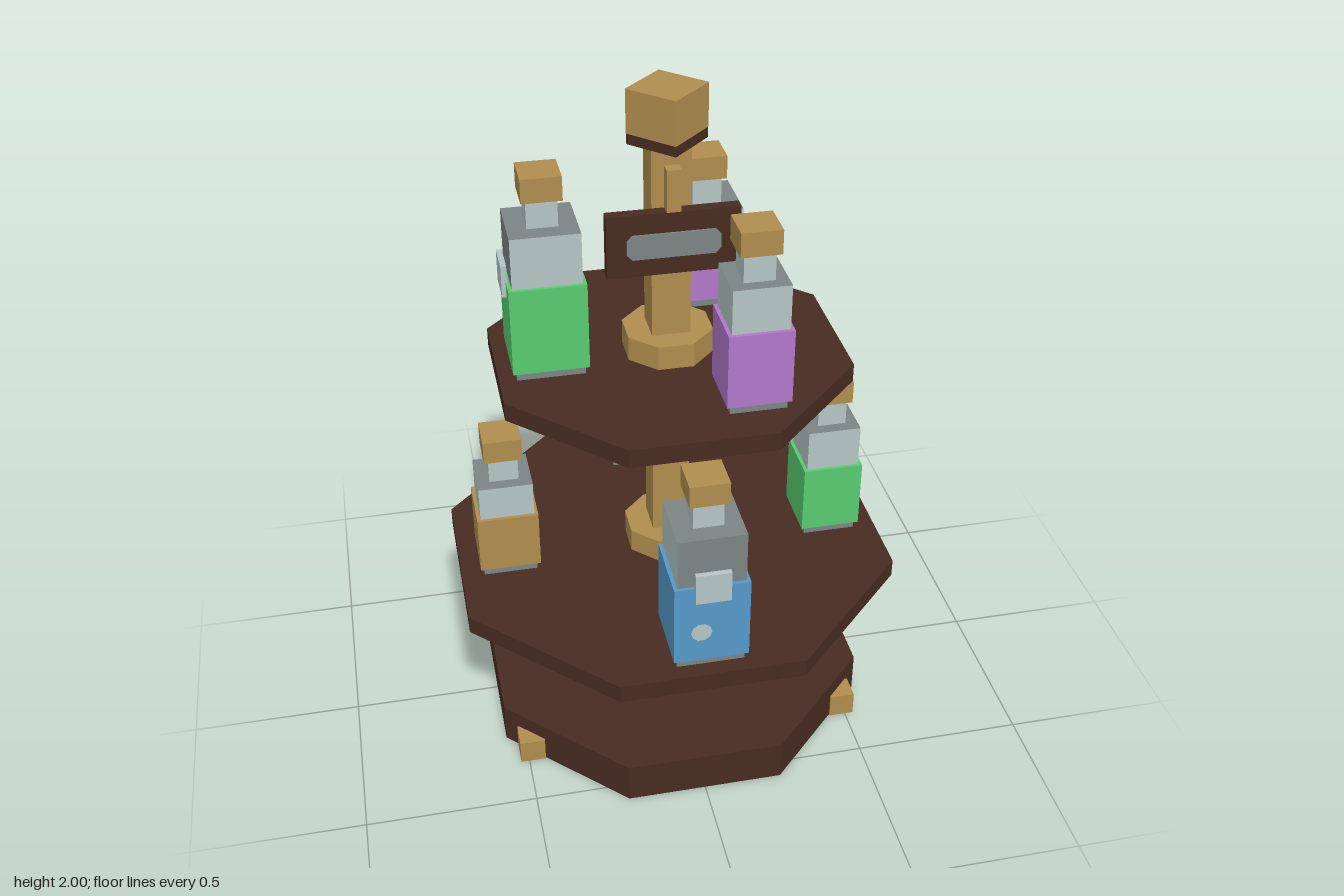
import * as THREE from 'three';

const material = (name, color) => {
  const m = new THREE.MeshStandardMaterial({ color });
  m.name = name;
  return m;
};

export function createModel() {
  const wood = material('darkWood', 0x472b21);
  const oak = material('goldenOak', 0xb08d4e);
  const glass = material('paleGlass', 0xb4c6c4);
  const smoke = material('greyGlass', 0x7c8584);
  const green = material('green', 0x58cb6f);
  const purple = material('purple', 0xb277cb);
  const blue = material('blue', 0x5599c9);
  const red = material('red', 0xc95c63);

  const model = new THREE.Group();
  model.name = 'bottleStand';

  const add = (parent, name, geometry, mat, x, y, z) => {
    const mesh = new THREE.Mesh(geometry, mat);
    mesh.name = name;
    mesh.position.set(x, y, z);
    parent.add(mesh);
    return mesh;
  };
  // Box given by its width, depth and vertical range
  const box = (parent, name, mat, w, d, y0, y1, x = 0, z = 0) =>
    add(parent, name, new THREE.BoxGeometry(w, y1 - y0, d), mat, x, (y0 + y1) / 2, z);
  // Eight-sided slab with flat sides facing the axes
  const octagon = (name, mat, apothem, y0, y1) => {
    const r = apothem / Math.cos(Math.PI / 8);
    const g = new THREE.CylinderGeometry(r, r, y1 - y0, 8).toNonIndexed();
    g.rotateY(Math.PI / 8);
    g.computeVertexNormals();
    return add(model, name, g, mat, 0, (y0 + y1) / 2, 0);
  };

  // Stand
  octagon('base', wood, 0.557, 0, 0.125);
  octagon('lowerShelf', wood, 0.642, 0.475, 0.53);
  octagon('upperShelf', wood, 0.494, 1.155, 1.21);
  octagon('lowerCollar', oak, 0.122, 0.53, 0.603);
  octagon('upperCollar', oak, 0.122, 1.21, 1.283);
  box(model, 'post', oak, 0.11, 0.11, 0.125, 1.86);
  for (const s of [-1, 1]) box(model, 'frontFoot', oak, 0.075, 0.075, 0.001, 0.076, s * 0.4875, 0.307);
  box(model, 'backFoot', oak, 0.16, 0.075, 0.001, 0.076, 0, -0.547);

  // Finial block turned on its corner, with a dark band beneath
  box(model, 'finial', oak, 0.158, 0.158, 1.875, 2).rotation.y = Math.PI / 4;
  box(model, 'finialBand', wood, 0.156, 0.156, 1.845, 1.875).rotation.y = Math.PI / 4;

  // Hanging sign
  box(model, 'signBoard', wood, 0.37, 0.035, 1.495, 1.678, 0, 0.0725);
  box(model, 'signPeg', oak, 0.04, 0.035, 1.678, 1.8, 0, 0.0725);
  const plate = new THREE.Shape([
    [-0.13, -0.02], [-0.115, -0.036], [0.115, -0.036], [0.13, -0.02],
    [0.13, 0.02], [0.115, 0.036], [-0.115, 0.036], [-0.13, 0.02],
  ].map(([x, y]) => new THREE.Vector2(x, y)));
  add(model, 'signPlate', new THREE.ExtrudeGeometry(plate, { depth: 0.006, bevelEnabled: false }),
    smoke, 0, 1.584, 0.09);

  // Square bottles: heights are sleeve top, shoulder top, neck top, stopper top.
  // tagFace is the box side (0 +x, 1 -x, 4 +z, 5 -z) that is grey behind a tag.
  const bottle = (name, color, x, z, floor, half, heights, tagFace) => {
    const g = new THREE.Group();
    g.name = name;
    g.position.set(x, 0, z);
    model.add(g);
    const [sleeve, shoulder, neck, cap] = heights;
    const inner = half * 2 - 0.021;
    const faces = [glass, glass, smoke, smoke, glass, glass];
    if (tagFace !== undefined) faces[tagFace] = smoke;
    box(g, 'foot', smoke, inner, inner, floor, floor + 0.025);
    box(g, 'sleeve', color, half * 2, half * 2, floor + 0.025, sleeve);
    box(g, 'shoulder', faces, inner, inner, sleeve, shoulder);
    box(g, 'neck', glass, 0.086, 0.086, shoulder, neck);
    box(g, 'stopper', oak, 0.112, 0.112, neck, cap);
    // Tag faces straight away from the post
    if (tagFace !== undefined) {
      const a = Math.atan2(x, z);
      const d = 0.111;
      box(g, 'tag', glass, 0.1, 0.016, sleeve - 0.045, sleeve + 0.05,
        Math.sin(a) * d, Math.cos(a) * d).rotation.y = a;
    }
    return g;
  };
  const low = 0.53, high = 1.21;
  const blueBottle = bottle('blueBottle', blue, 0, 0.497, low, 0.107, [0.81, 0.965, 1.043, 1.11], 4);
  bottle('lowerGreenBottle', green, 0.495, 0, low, 0.09, [0.77, 0.9, 0.98, 1.05]);
  bottle('redBottle', red, 0, -0.495, low, 0.107, [0.735, 0.84, 0.92, 0.99], 5);
  bottle('oakBottle', oak, -0.495, 0, low, 0.09, [0.735, 0.84, 0.915, 0.985]);
  bottle('upperGreenBottle', green, -0.348, 0, high, 0.107, [1.495, 1.645, 1.725, 1.795], 1);
  const frontPurple = bottle('frontPurpleBottle', purple, 0.172, 0.3, high, 0.09, [1.455, 1.585, 1.665, 1.735]);
  bottle('backPurpleBottle', purple, 0.172, -0.304, high, 0.107, [1.41, 1.52, 1.6, 1.67], 5);

  // Painted spots on the sleeves
  const spot = (parent, rx, ry, x, y, z, turn) => {
    const m = add(parent, 'spot', new THREE.CircleGeometry(1, 10), glass, x, y, z);
    m.scale.set(rx, ry, 1);
    m.rotation.y = turn;
  };
  spot(blueBottle, 0.03, 0.03, -0.03, 0.655, 0.109, 0);
  spot(blueBottle, 0.027, 0.027, 0.109, 0.715, 0.032, Math.PI / 2);
  spot(frontPurple, 0.035, 0.056, 0.092, 1.345, 0.002, Math.PI / 2);

  return model;
}
